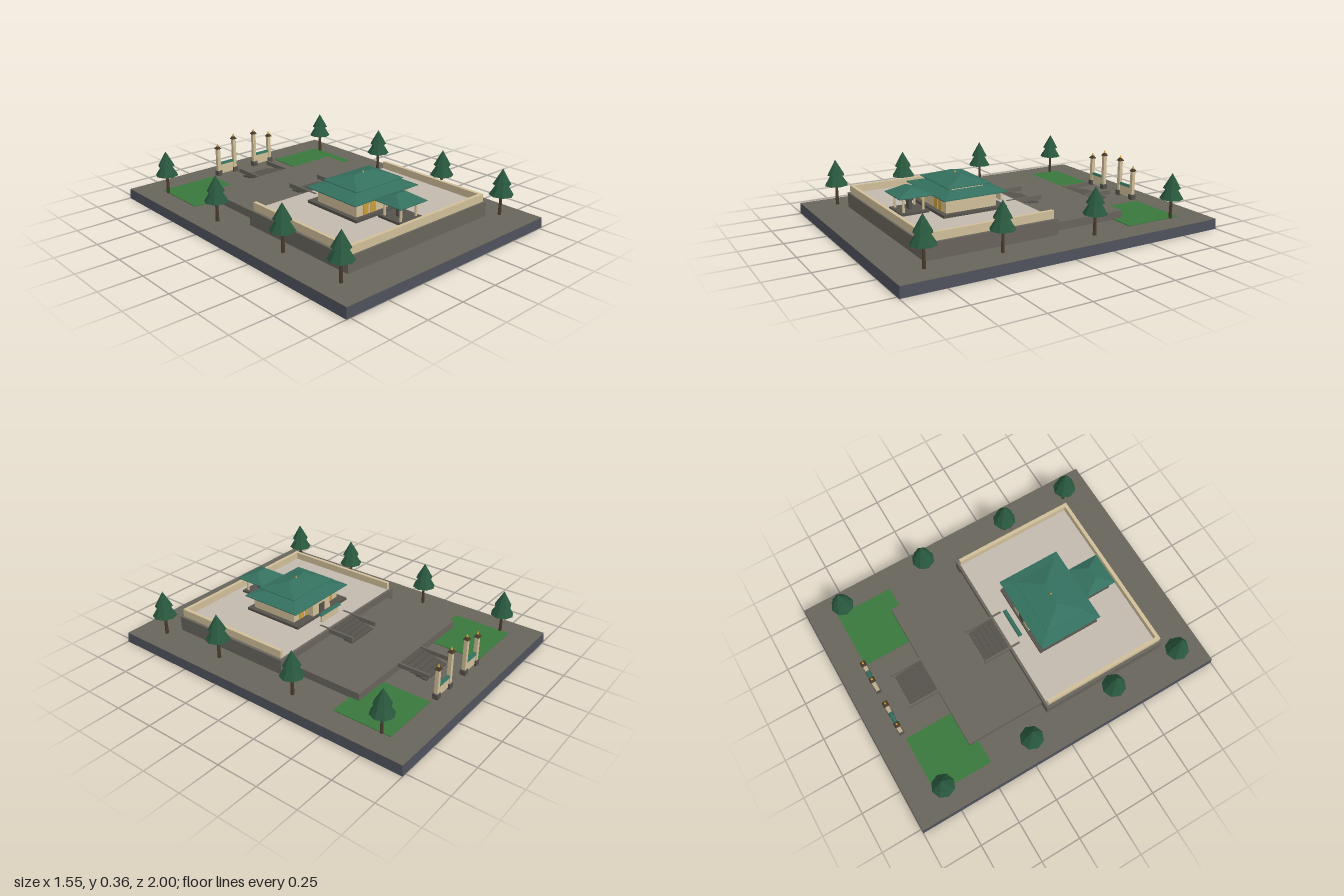
import * as THREE from 'three';

const mat = (name, color) => {
  const m = new THREE.MeshStandardMaterial({ color });
  m.name = name;
  return m;
};

export function createModel() {
  const root = new THREE.Group();
  root.name = 'templeCourtyard';
  const stone = mat('stone', 0x68645b);
  const slate = mat('slate', 0x4c4f5a);
  const floorMat = mat('paleFloor', 0xc2b9ae);
  const cream = mat('cream', 0xcfbe98);
  const gold = mat('gold', 0xcb9d38);
  const roofMat = mat('roofGreen', 0x34705f);
  const leaf = mat('foliage', 0x28573d);
  const bark = mat('bark', 0x4a3b2c);
  const grass = mat('grass', 0x3a783d);
  const darkStone = mat('darkStone', 0x56524c);

  const add = (name, geo, material, x = 0, y = 0, z = 0, parent = root) => {
    const m = new THREE.Mesh(geo, material);
    m.name = name;
    m.position.set(x, y, z);
    parent.add(m);
    return m;
  };
  // box given by its ranges
  const block = (name, material, x0, x1, y0, y1, z0, z1, parent = root) =>
    add(name, new THREE.BoxGeometry(x1 - x0, y1 - y0, z1 - z0), material,
      (x0 + x1) / 2, (y0 + y1) / 2, (z0 + z1) / 2, parent);
  // box standing on y = 0 whose top is resized to w2 x d2
  const frustum = (w, d, h, w2, d2) => {
    const g = new THREE.BoxGeometry(w, h, d);
    const p = g.attributes.position;
    for (let i = 0; i < p.count; i++) {
      if (p.getY(i) > 0) p.setXYZ(i, Math.sign(p.getX(i)) * w2 / 2, h, Math.sign(p.getZ(i)) * d2 / 2);
      else p.setY(i, 0);
    }
    g.computeVertexNormals();
    return g;
  };
  const G = 0.062; // ground level
  const T = 0.153; // upper terrace level

  // ground slab, paving and lawns
  add('baseSlab', frustum(1.55, 2, 0.059, 1.54, 1.99), slate);
  block('paving', stone, -0.77, 0.77, 0.059, G, -0.995, 0.995);
  for (const s of [-1, 1])
    add('lawn', new THREE.BoxGeometry(0.37, 0.004, 0.36), grass, s * 0.445, G + 0.002, -0.65);

  // terraces
  block('lowerTerrace', stone, -0.485, 0.485, G, 0.11, -0.53, -0.04);
  block('upperTerrace', stone, -0.545, 0.545, G, T, -0.04, 0.765);
  block('courtFloor', floorMat, -0.525, 0.525, T, T + 0.003, -0.025, 0.75);

  // courtyard wall on three sides
  for (const s of [-1, 1])
    add('sideWall', new THREE.BoxGeometry(0.022, 0.047, 0.775), cream, s * 0.517, T + 0.0235, 0.3645);
  block('rearWall', cream, -0.528, 0.528, T, 0.2, 0.732, 0.754);

  // stairs with side rails
  const stairs = (name, z0, z1, y0, y1) => {
    const g = new THREE.Group();
    g.name = name;
    root.add(g);
    const n = 5;
    for (let i = 0; i < n; i++) {
      const top = y0 + (y1 - y0) * (i + 1) / (n + 0.5);
      const step = (z1 - z0) / n;
      block('step', darkStone, -0.105, 0.105, top - 0.013, top, z0 + i * step, z0 + (i + 1) * step, g);
    }
  };
  stairs('lowerStairs', -0.71, -0.53, G, 0.11);
  stairs('upperStairs', -0.2, -0.04, 0.11, T);
  for (const s of [-1, 1]) {
    add('lowerRail', new THREE.BoxGeometry(0.012, 0.026, 0.2), stone, s * 0.112, 0.102, -0.63);
    add('upperRail', new THREE.BoxGeometry(0.012, 0.028, 0.24), stone, s * 0.112, 0.145, -0.09);
  }

  // roofed screen at the head of the stairs
  block('screenWall', cream, -0.08, 0.08, T, 0.203, 0.041, 0.053);
  add('screenRoof', frustum(0.19, 0.026, 0.012, 0.18, 0.014), roofMat, 0, 0.203, 0.047);

  // main hall
  const hall = new THREE.Group();
  hall.name = 'mainHall';
  hall.position.z = 0.305;
  root.add(hall);
  block('hallPlinth', darkStone, -0.235, 0.235, T, 0.172, -0.205, 0.195, hall);
  block('hallBody', cream, -0.205, 0.205, 0.172, 0.258, -0.15, 0.165, hall);
  block('porch', cream, -0.08, 0.08, 0.172, 0.25, -0.195, -0.15, hall);
  for (const z of [-0.151, 0.166])
    for (const x of [-0.137, -0.08, 0.08, 0.137])
      add('window', new THREE.BoxGeometry(0.04, 0.062, 0.006), gold, x, 0.204, z, hall);
  add('hallDoor', new THREE.BoxGeometry(0.05, 0.062, 0.006), darkStone, 0, 0.203, -0.196, hall);
  block('lowerEave', roofMat, -0.247, 0.247, 0.254, 0.259, -0.202, 0.198, hall);
  add('lowerRoof', frustum(0.494, 0.4, 0.024, 0.29, 0.2), roofMat, 0, 0.259, -0.002, hall);
  block('upperStorey', cream, -0.145, 0.145, 0.275, 0.302, -0.1, 0.1, hall);
  block('upperEave', roofMat, -0.182, 0.182, 0.299, 0.303, -0.135, 0.139, hall);
  add('upperRoof', frustum(0.364, 0.274, 0.039, 0.145, 0.006), roofMat, 0, 0.303, 0.002, hall);
  add('roofFinial', new THREE.ConeGeometry(0.008, 0.018, 6), gold, 0, 0.347, 0.002, hall);

  // rear pavilion sheltering a stone slab
  const pavilion = new THREE.Group();
  pavilion.name = 'pavilion';
  pavilion.position.z = 0.6;
  root.add(pavilion);
  block('pavilionPlinth', darkStone, -0.085, 0.085, T, 0.17, -0.085, 0.085, pavilion);
  for (const x of [-1, 1])
    for (const z of [-1, 1])
      add('pavilionColumn', new THREE.CylinderGeometry(0.008, 0.008, 0.09, 8), cream, x * 0.06, 0.215, z * 0.06, pavilion);
  block('standingStone', darkStone, -0.023, 0.023, 0.17, 0.247, -0.009, 0.009, pavilion);
  block('pavilionEave', roofMat, -0.105, 0.105, 0.256, 0.26, -0.1, 0.1, pavilion);
  add('pavilionRoof', frustum(0.21, 0.2, 0.042, 0.08, 0.006), roofMat, 0, 0.26, 0, pavilion);

  // entrance gates: a tall inner and a short outer post joined by a roofed panel
  const post = (x, top) => {
    const g = new THREE.Group();
    g.name = 'gatePost';
    g.position.set(x, 0, -0.835);
    root.add(g);
    block('postBase', darkStone, -0.017, 0.017, G, 0.094, -0.017, 0.017, g);
    block('postShaft', cream, -0.011, 0.011, 0.094, top - 0.038, -0.011, 0.011, g);
    add('postCap', frustum(0.034, 0.034, 0.018, 0.012, 0.012), bark, 0, top - 0.038, 0, g);
    add('postFinial', new THREE.ConeGeometry(0.008, 0.022, 6), gold, 0, top - 0.011, 0, g);
  };
  for (const s of [-1, 1]) {
    post(s * 0.082, 0.325);
    post(s * 0.208, 0.282);
    add('gatePanel', new THREE.BoxGeometry(0.105, 0.065, 0.01), cream, s * 0.145, 0.103, -0.835);
    add('gateRoof', frustum(0.1, 0.024, 0.013, 0.1, 0.012), roofMat, s * 0.145, 0.135, -0.835);
  }

  // conifers along both sides
  const cone = (r, h) => new THREE.ConeGeometry(r, h, 8).toNonIndexed();
  const lowCone = cone(0.072, 0.115), topCone = cone(0.053, 0.095);
  for (const g of [lowCone, topCone]) g.computeVertexNormals();
  const trunk = new THREE.CylinderGeometry(0.008, 0.011, 0.14, 6);
  for (const s of [-1, 1])
    for (const [x, z, k] of [[0.628, -0.775, 0.96], [0.648, -0.21, 0.98], [0.628, 0.36, 1], [0.628, 0.805, 1]]) {
      const tree = new THREE.Group();
      tree.name = 'tree';
      tree.position.set(s * x, G, z);
      tree.scale.setScalar(k);
      root.add(tree);
      add('trunk', trunk, bark, 0, 0.07, 0, tree);
      add('lowerFoliage', lowCone, leaf, 0, 0.1825, 0, tree);
      add('upperFoliage', topCone, leaf, 0, 0.2355, 0, tree);
    }
  return root;
}
